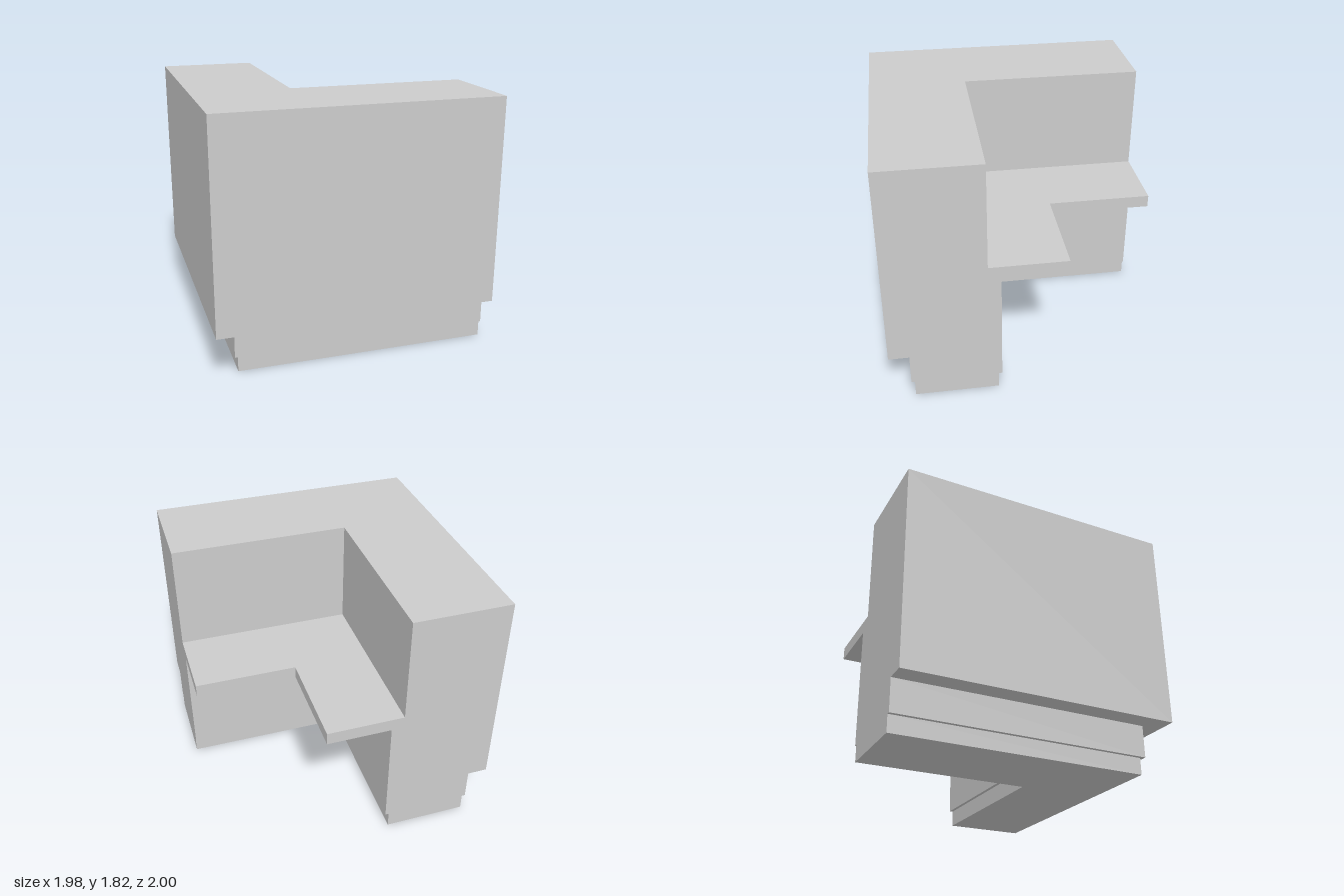
import * as THREE from 'three';

// Counter cross-section: [distance towards the outer side, height]
const PROFILE = [
  [1, 0.35], [0.855, 0.35], [0.855, 0.12],                // overhang and recess
  [0.83, 0.12], [0.83, 0], [0.235, 0], [0.235, 0.12],     // plinth
  [0.21, 0.12], [0.21, 0.96],                             // inner face
  [-0.25, 0.96], [-0.25, 1.05],                           // work shelf
  [0.3, 1.05], [0.3, 1.82], [1, 1.82],                    // upper wall
];

// Stations of the sweep: right-hand end, mitred corner, rear end
const STATIONS = [
  ([d, y]) => [0.99, y, d],
  ([d, y]) => [0.01 - d, y, d],
  ([d, y]) => [0.01 - d, y, -1],
];

function sweepGeometry() {
  const rings = STATIONS.map((place) => PROFILE.map(place));
  const positions = [];
  const triangle = (a, b, c) => positions.push(...a, ...b, ...c);

  // Walls along both arms
  for (let s = 0; s < rings.length - 1; s++) {
    const near = rings[s], far = rings[s + 1];
    for (let i = 0; i < PROFILE.length; i++) {
      const j = (i + 1) % PROFILE.length;
      triangle(near[i], far[i], near[j]);
      triangle(near[j], far[i], far[j]);
    }
  }

  // Flat ends
  const outline = PROFILE.map(([d, y]) => new THREE.Vector2(-d, y));
  const first = rings[0], last = rings[rings.length - 1];
  for (const [a, b, c] of THREE.ShapeUtils.triangulateShape(outline, [])) {
    triangle(first[a], first[b], first[c]);
    triangle(last[a], last[c], last[b]);
  }

  const geometry = new THREE.BufferGeometry();
  geometry.setAttribute('position', new THREE.Float32BufferAttribute(positions, 3));
  geometry.computeVertexNormals();
  return geometry;
}

export function createModel() {
  const model = new THREE.Group();
  model.name = 'cornerCounter';
  const material = new THREE.MeshStandardMaterial({ color: 0xcccccc, flatShading: true });
  const counter = new THREE.Mesh(sweepGeometry(), material);
  counter.name = 'counterBody';
  model.add(counter);
  return model;
}
